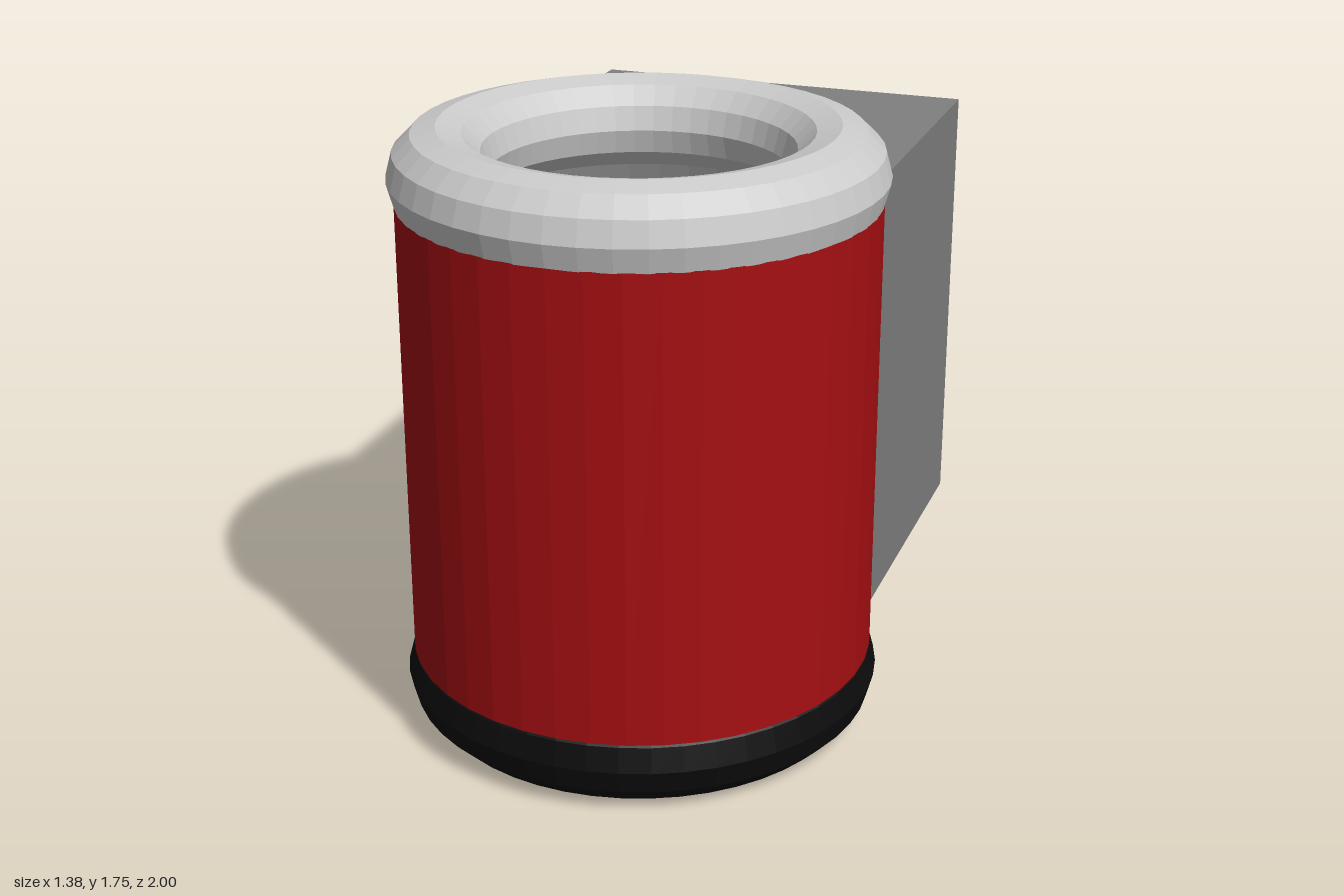
import * as THREE from 'three';

const R = 0.67, CZ = 0.31;          // drum radius and its z centre
const Y0 = 0.215, Y1 = 1.55;        // wall bottom and top
const HALF = 0.59, BACK = -1;       // box half width and back face
const EDGE = Math.asin(HALF / R);   // angle from -z at which box meets drum

const mat = (color, extra = {}) =>
  new THREE.MeshStandardMaterial({ color, flatShading: true, ...extra });

function add(group, name, geometry, material) {
  const mesh = new THREE.Mesh(geometry, material);
  mesh.name = name;
  group.add(mesh);
  return mesh;
}

export function createModel() {
  const model = new THREE.Group();
  model.name = 'drumWithBox';

  // Thin open drum wall, interrupted where the box joins it
  const wall = add(model, 'drumWall',
    new THREE.CylinderGeometry(R, R, Y1 - Y0, 28, 1, true, Math.PI + EDGE, 2 * (Math.PI - EDGE)),
    mat(0xa50f12, { side: THREE.DoubleSide }));
  wall.position.set(0, (Y0 + Y1) / 2, CZ);

  // Rounded rims, top and bottom
  for (const [name, y, color] of [['topRim', 1.617, 0xcccccc], ['bottomRim', 0.138, 0x0c0c0c]]) {
    const rim = add(model, name, new THREE.TorusGeometry(0.55, 0.138, 12, 48), mat(color));
    rim.rotation.x = Math.PI / 2;
    rim.position.set(0, y, CZ);
  }

  // Box behind the drum, its front hollowed to the drum's curve (shape y = -z)
  const s = new THREE.Shape();
  s.moveTo(-HALF, -BACK);
  const steps = 16;
  for (let i = 0; i <= steps; i++) {
    const a = -EDGE + (2 * EDGE * i) / steps;
    s.lineTo(R * Math.sin(a), R * Math.cos(a) - CZ);
  }
  s.lineTo(HALF, -BACK);
  s.closePath();
  const box = add(model, 'rearBox',
    new THREE.ExtrudeGeometry(s, { depth: Y1 - Y0, bevelEnabled: false }), mat(0x808080));
  box.rotation.x = -Math.PI / 2;
  box.position.y = Y0;

  return model;
}
